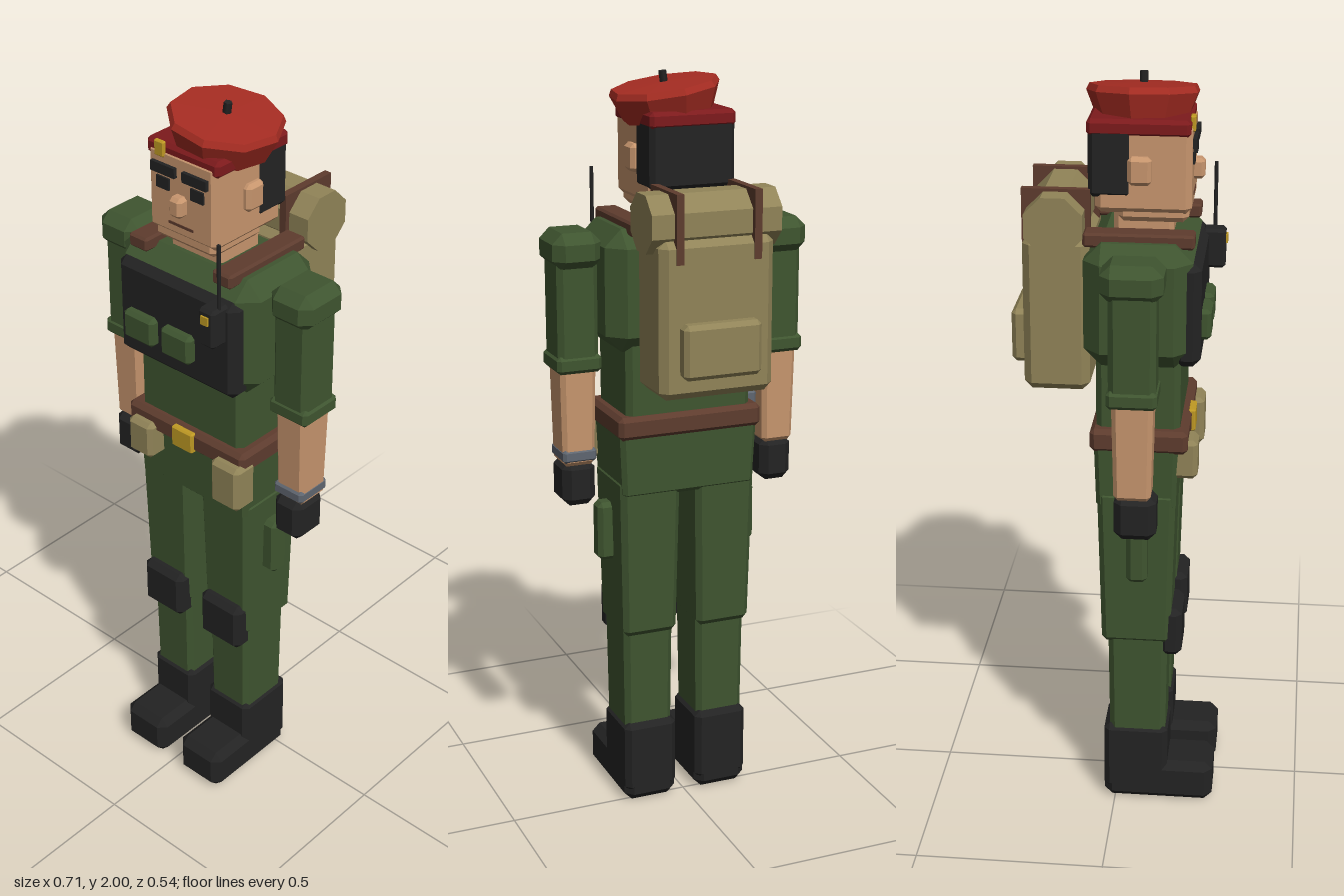
import * as THREE from 'three';
import { ConvexGeometry } from 'three/addons/geometries/ConvexGeometry.js';

const mat = (name, color) => {
  const m = new THREE.MeshStandardMaterial({ color });
  m.name = name;
  return m;
};

export function createModel() {
  const root = new THREE.Group();
  root.name = 'soldier';
  const green = mat('uniform green', 0x3f5530);
  const black = mat('black gear', 0x232323);
  const skin = mat('skin', 0xc8966e);
  const tan = mat('canvas tan', 0x918458);
  const brown = mat('leather brown', 0x5e3c2e);
  const red = mat('beret red', 0xa52c22);
  const darkRed = mat('band dark red', 0x7d1a1c);
  const gold = mat('gold', 0xc09a24);
  const steel = mat('steel grey', 0x5f6670);

  const add = (name, geometry, material, parent = root) => {
    const m = new THREE.Mesh(geometry, material);
    m.name = name;
    parent.add(m);
    return m;
  };

  // Box with chamfered edges, given by its ranges; `taper` scales the bottom end
  const block = (name, material, [x0, x1], [y0, y1], [z0, z1], c = 0.012, taper = 1) => {
    const hx = (x1 - x0) / 2, hy = (y1 - y0) / 2, hz = (z1 - z0) / 2;
    const pts = [];
    for (const sx of [-1, 1]) for (const sy of [-1, 1]) for (const sz of [-1, 1]) {
      for (const [a, b, d] of [[0, c, c], [c, 0, c], [c, c, 0]]) {
        const k = sy < 0 ? taper : 1;
        pts.push(new THREE.Vector3(sx * (hx - a) * k, sy * (hy - b), sz * (hz - d) * k));
      }
    }
    const g = c > 0 ? new ConvexGeometry(pts) : new THREE.BoxGeometry(2 * hx, 2 * hy, 2 * hz);
    g.translate((x0 + x1) / 2, (y0 + y1) / 2, (z0 + z1) / 2);
    return add(name, g, material);
  };

  // The same block on both sides of the body
  const pair = (name, material, [x0, x1], ...rest) => {
    block(name + 'Left', material, [x0, x1], ...rest);
    block(name + 'Right', material, [-x1, -x0], ...rest);
  };

  // Legs and boots
  pair('bootSole', black, [0.03, 0.18], [0, 0.12], [-0.03, 0.27], 0.022);
  pair('bootShaft', black, [0.03, 0.18], [0.03, 0.235], [-0.03, 0.145], 0.015);
  pair('shin', green, [0.035, 0.177], [0.2, 0.54], [-0.018, 0.142], 0.015, 0.95);
  pair('thigh', green, [0.022, 0.192], [0.5, 0.95], [-0.045, 0.16], 0.015, 0.9);
  pair('kneePad', black, [0.035, 0.177], [0.46, 0.6], [0.12, 0.18], 0.016);
  pair('thighPocket', green, [0.165, 0.228], [0.705, 0.868], [0.035, 0.09], 0.012);

  // Torso
  block('hips', green, [-0.195, 0.195], [0.9, 1.09], [-0.052, 0.165], 0.012, 0.96);
  block('belt', brown, [-0.202, 0.202], [1.065, 1.128], [-0.062, 0.19], 0.012);
  block('buckle', gold, [-0.036, 0.036], [1.065, 1.125], [0.18, 0.2], 0.004);
  block('waist', green, [-0.175, 0.175], [1.1, 1.34], [-0.048, 0.168], 0.015);
  block('chest', green, [-0.228, 0.228], [1.3, 1.62], [-0.077, 0.197], 0.045);
  block('vest', black, [-0.198, 0.198], [1.303, 1.575], [0.15, 0.218], 0.02);
  block('vestPouchRight', green, [-0.157, -0.055], [1.365, 1.445], [0.205, 0.242], 0.01);
  block('vestPouchCentre', green, [-0.03, 0.07], [1.365, 1.445], [0.205, 0.242], 0.01);

  // Radio
  block('radio', black, [0.12, 0.172], [1.465, 1.57], [0.2, 0.262], 0.008);
  block('radioLight', gold, [0.135, 0.157], [1.53, 1.553], [0.26, 0.267], 0);
  const antenna = add('antenna', new THREE.CylinderGeometry(0.005, 0.005, 0.18, 6), black);
  antenna.position.set(0.164, 1.65, 0.232);

  // Belt kit
  block('beltPouchRight', tan, [-0.182, -0.098], [0.99, 1.097], [0.14, 0.215], 0.012);
  block('beltPouchLeft', tan, [0.11, 0.206], [0.965, 1.097], [0.14, 0.215], 0.012);
  block('knifeSheath', steel, [-0.228, -0.205], [0.87, 1.09], [0.055, 0.085], 0.005);
  block('knifeGrip', steel, [-0.237, -0.198], [1.085, 1.132], [0.045, 0.095], 0.006);

  // Arms
  pair('shoulder', green, [0.222, 0.354], [1.515, 1.612], [-0.021, 0.135], 0.027);
  pair('sleeve', green, [0.232, 0.342], [1.26, 1.56], [0, 0.118], 0.014);
  pair('cuff', green, [0.226, 0.348], [1.245, 1.292], [-0.005, 0.122], 0.01);
  pair('forearm', skin, [0.238, 0.336], [0.99, 1.27], [0.007, 0.112], 0.012, 0.9);
  pair('glove', black, [0.24, 0.331], [0.878, 1.0], [0.012, 0.12], 0.02);
  block('watchStrap', steel, [0.239, 0.333], [1.0, 1.037], [0.008, 0.113], 0.008);

  // Head
  block('neck', skin, [-0.085, 0.085], [1.58, 1.7], [-0.01, 0.14], 0.012);
  block('head', skin, [-0.112, 0.112], [1.675, 1.9], [-0.055, 0.185], 0.015);
  block('jaw', skin, [-0.1, 0.1], [1.65, 1.72], [0.0, 0.178], 0.015);
  pair('ear', skin, [0.1, 0.13], [1.75, 1.822], [0.027, 0.087], 0.01);
  block('nose', skin, [-0.02, 0.02], [1.742, 1.795], [0.175, 0.212], 0.009);
  pair('eye', black, [0.035, 0.076], [1.795, 1.826], [0.183, 0.19], 0);
  pair('brow', black, [0.012, 0.09], [1.836, 1.862], [0.182, 0.195], 0);
  block('mouth', brown, [-0.04, 0.04], [1.708, 1.715], [0.183, 0.187], 0);
  block('hair', black, [-0.116, 0.116], [1.715, 1.89], [-0.072, 0.038], 0.012);

  // Beret: band, nine-sided crown tipped to the left, stem and badge
  block('beretBand', darkRed, [-0.117, 0.117], [1.868, 1.912], [-0.075, 0.182], 0.01);
  block('beretBadge', gold, [-0.081, -0.05], [1.877, 1.917], [0.178, 0.191], 0.003);
  const profile = [[0, -0.045], [0.118, -0.045], [0.145, 0.022], [0.137, 0.038], [0, 0.043]];
  const crown = new THREE.LatheGeometry(profile.map(p => new THREE.Vector2(...p)), 9).toNonIndexed();
  crown.computeVertexNormals();
  const beret = new THREE.Group();
  beret.name = 'beret';
  beret.position.set(0.024, 1.931, 0.055);
  beret.rotation.set(0, Math.PI, 0.15, 'ZYX');
  beret.rotation.z = -0.15;
  root.add(beret);
  add('beretCrown', crown, red, beret);
  const stem = add('beretStem', new THREE.CylinderGeometry(0.011, 0.011, 0.034, 5), black, beret);
  stem.position.y = 0.053;

  // Backpack with bedroll and straps
  block('packBody', tan, [-0.155, 0.155], [1.213, 1.62], [-0.235, -0.066], 0.02);
  block('packPocket', tan, [-0.106, 0.106], [1.27, 1.412], [-0.272, -0.225], 0.012);
  const roll = new THREE.CylinderGeometry(0.079, 0.079, 0.35, 8).toNonIndexed();
  roll.rotateY(Math.PI / 8).rotateZ(Math.PI / 2);
  roll.computeVertexNormals();
  add('bedroll', roll, tan).position.set(0, 1.655, -0.152);
  pair('rollStrap', brown, [0.095, 0.115], [1.56, 1.735], [-0.238, -0.066], 0);
  pair('shoulderStrap', brown, [0.108, 0.169], [1.603, 1.64], [-0.08, 0.198], 0.006);

  return root;
}
